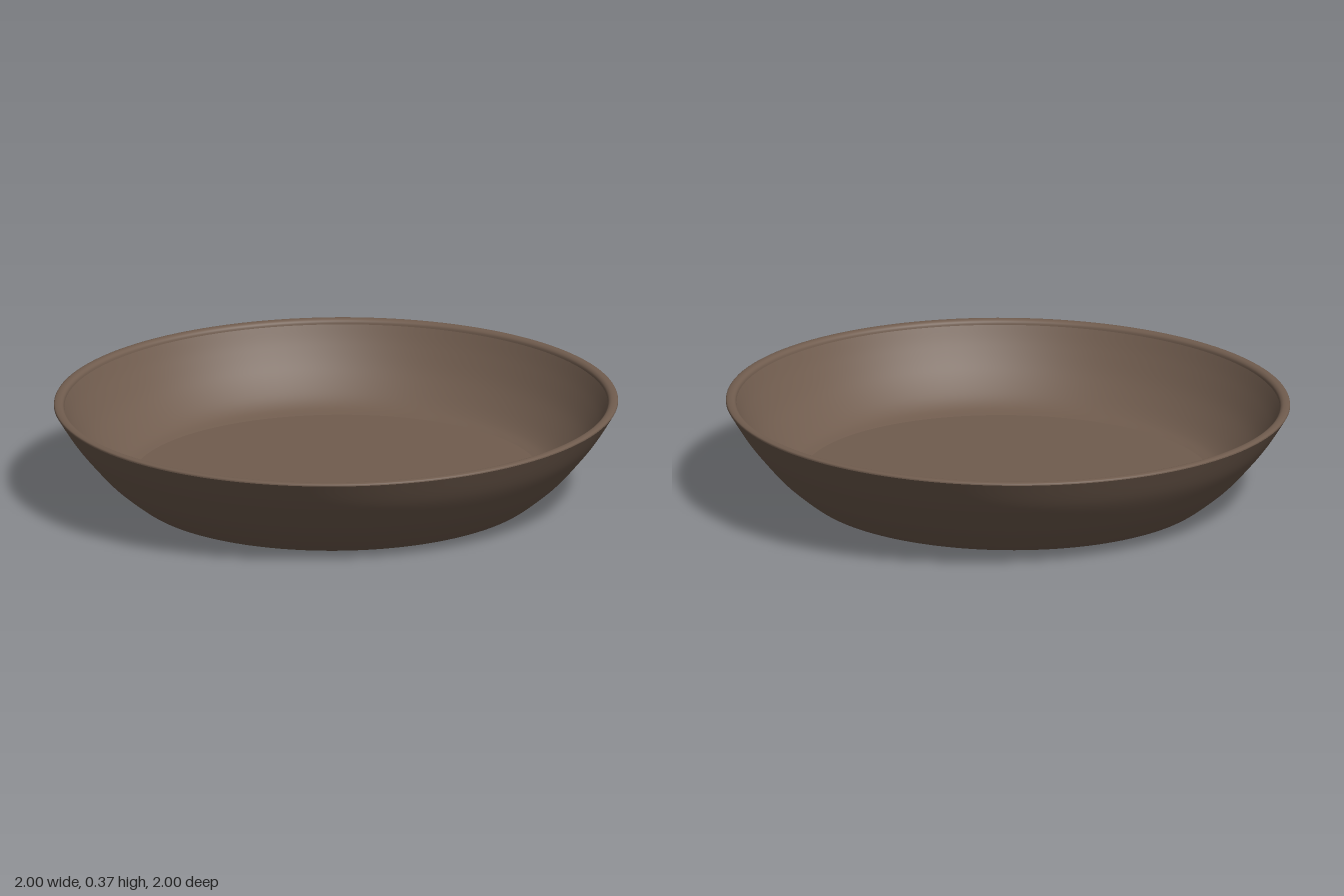
import * as THREE from 'three';

const SEGMENTS = 128;

// Smooth curve through a few [radius, height] points
function smooth(points, divisions) {
  return new THREE.SplineCurve(points.map(([r, y]) => new THREE.Vector2(r, y))).getPoints(divisions);
}

function turned(name, profile, material) {
  const mesh = new THREE.Mesh(new THREE.LatheGeometry(profile, SEGMENTS), material);
  mesh.name = name;
  return mesh;
}

export function createModel() {
  const clay = new THREE.MeshStandardMaterial({ color: 0x705c4e });
  clay.name = 'brown clay';

  const bowl = new THREE.Group();
  bowl.name = 'bowl';

  // Recessed underside rolling into the foot ring
  const underside = [
    new THREE.Vector2(0, 0.02),
    new THREE.Vector2(0.3, 0.02),
    new THREE.Vector2(0.58, 0.02),
    ...smooth([[0.61, 0.02], [0.635, 0.013], [0.655, 0.003], [0.68, 0]], 12),
  ];
  // Flared outer wall from the foot to the rim
  const wall = smooth([[0.68, 0], [0.71, 0.008], [0.76, 0.045], [0.82, 0.097],
    [0.88, 0.164], [0.94, 0.24], [1, 0.335]], 32);
  bowl.add(turned('outerWall', [...underside, ...wall.slice(1)], clay));

  // Narrow rim with rounded edges
  bowl.add(turned('rim', smooth([[1, 0.335], [0.998, 0.341], [0.988, 0.344],
    [0.975, 0.343], [0.966, 0.336], [0.963, 0.326]], 16), clay));

  // Curved interior and flat floor
  const interior = smooth([[0.963, 0.326], [0.93, 0.262], [0.88, 0.184],
    [0.82, 0.118], [0.77, 0.08], [0.725, 0.065]], 28);
  bowl.add(turned('innerWall', interior, clay));
  bowl.add(turned('floor', [new THREE.Vector2(0.725, 0.065), new THREE.Vector2(0.4, 0.065),
    new THREE.Vector2(0, 0.065)], clay));

  // Small raised ring under the centre
  bowl.add(turned('baseRing', smooth([[0.145, 0.021], [0.157, 0.011], [0.175, 0.006],
    [0.193, 0.011], [0.205, 0.021]], 16), clay));

  // The bowl sits slightly tilted
  bowl.rotation.set(0.005, 0, 0.016);
  bowl.position.set(0.0055, 0.0115, -0.0017);

  const model = new THREE.Group();
  model.name = 'tiltedBowl';
  model.add(bowl);
  return model;
}
